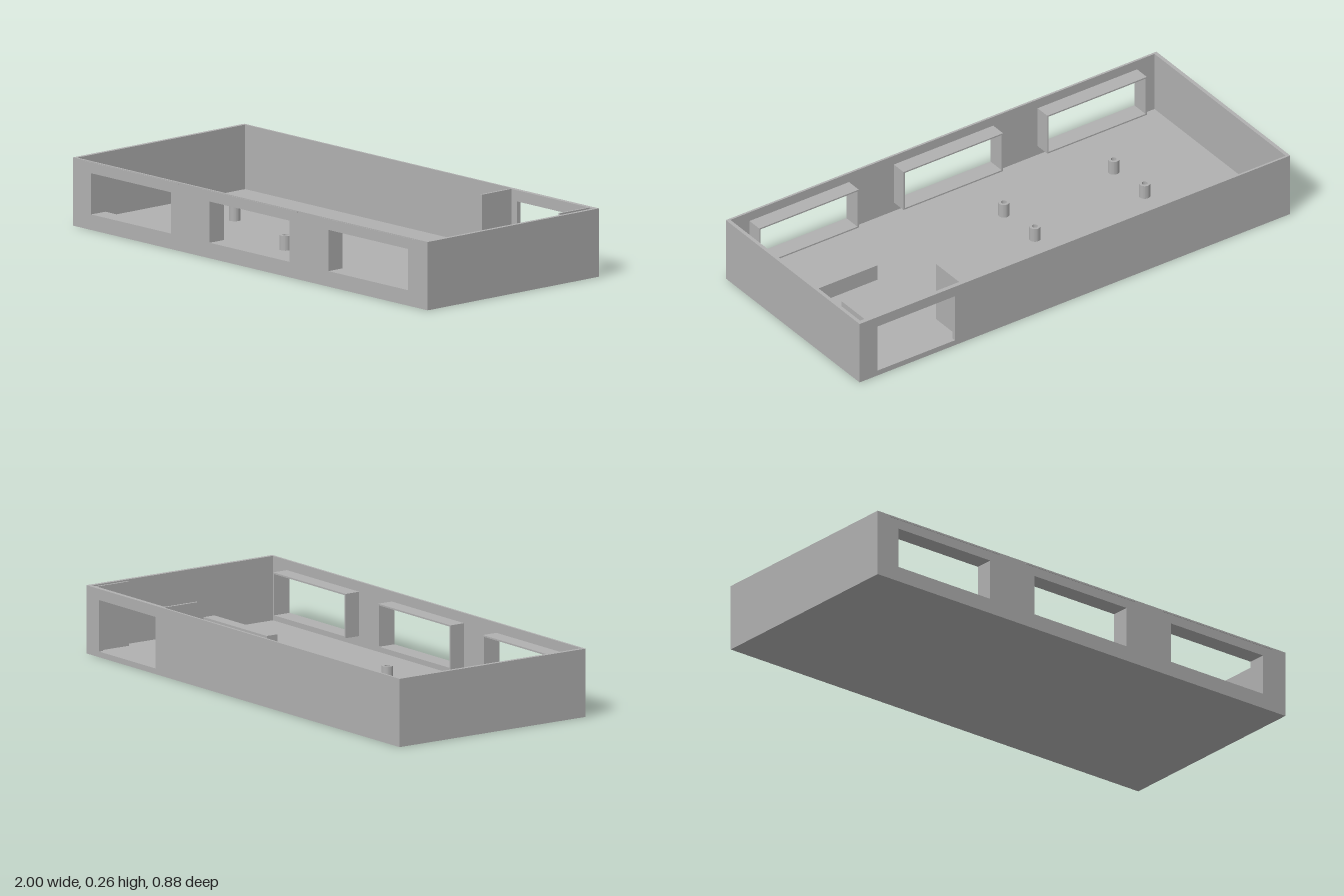
import * as THREE from 'three';

const W = 1, D = 0.438, H = 0.265, SIDE = 0.015, FLOOR = 0.015, THIN = 0.009;

export function createModel() {
  const model = new THREE.Group();
  model.name = 'enclosure';
  const grey = new THREE.MeshStandardMaterial({ color: 0xb0b0b0 });
  grey.name = 'grey plastic';

  const add = (name, geometry) => {
    const mesh = new THREE.Mesh(geometry, grey);
    mesh.name = name;
    model.add(mesh);
    return mesh;
  };
  // Box given by its limits on each axis
  const box = (name, x0, x1, y0, y1, z0, z1) =>
    add(name, new THREE.BoxGeometry(x1 - x0, y1 - y0, z1 - z0))
      .position.set((x0 + x1) / 2, (y0 + y1) / 2, (z0 + z1) / 2);
  const rect = (Type, x0, x1, y0, y1) => new Type([
    new THREE.Vector2(x0, y0), new THREE.Vector2(x1, y0),
    new THREE.Vector2(x1, y1), new THREE.Vector2(x0, y1),
  ]);
  // Upright plate with rectangular openings, from z0 to z1
  const plate = (name, outline, openings, z0, z1) => {
    const shape = rect(THREE.Shape, ...outline);
    shape.holes = openings.map((o) => rect(THREE.Path, ...o));
    const g = new THREE.ExtrudeGeometry(shape, { depth: z1 - z0, bevelEnabled: false });
    add(name, g).position.z = z0;
  };

  // Tray: floor and side walls
  const inner = W - SIDE;
  box('floor', -inner, inner, 0, FLOOR, -D + THIN, D - THIN);
  box('rightWall', -W, -inner, 0, H, -D, D);
  box('leftWall', inner, W, 0, H, -D, D);

  // Front wall with three windows and their inward sleeves
  const windows = [-0.673, -0.005, 0.665].map((x) => [x - 0.225, x + 0.225, 0.06, 0.22]);
  plate('frontWall', [-inner, inner, 0, H], windows, D - THIN, D);
  for (const w of windows) {
    const t = 0.006;
    plate('windowSleeve', [w[0] - t, w[1] + t, w[2] - t, w[3] + t], [w], 0.365, D - THIN);
    // Slim catch under the rim above each window
    const x = (w[0] + w[1]) / 2;
    box('rimCatch', x - 0.27, x + 0.27, 0.257, 0.262, D, D + 0.002);
  }

  // Back wall with its port, reinforced on the inside around the port
  const port = [0.557, 0.918, 0.022, 0.222];
  plate('backWall', [-inner, inner, 0, H], [port], -D, -D + THIN);
  plate('portReinforcement', [0.515, inner, FLOOR, H], [port], -D + THIN, -0.42);

  // Guides either side of the port
  box('portGuide', 0.515, 0.525, FLOOR, H, -0.42, -0.27);
  box('portGuide', 0.956, 0.965, FLOOR, H, -0.42, -0.27);

  // Stop bar in front of the port bay
  box('stopBar', 0.55, 0.953, FLOOR, 0.08, 0.08, 0.13);

  // Hollow mounting posts
  const profile = [[0.011, 0], [0.022, 0], [0.022, 0.057], [0.011, 0.057], [0.011, 0]]
    .map(([r, y]) => new THREE.Vector2(r, y));
  for (const x of [-0.61, -0.1]) {
    for (const z of [-0.035, 0.168]) {
      const g = new THREE.LatheGeometry(profile, 24).toNonIndexed();
      g.computeVertexNormals();
      add('mountingPost', g).position.set(x, FLOOR, z);
    }
  }
  return model;
}
